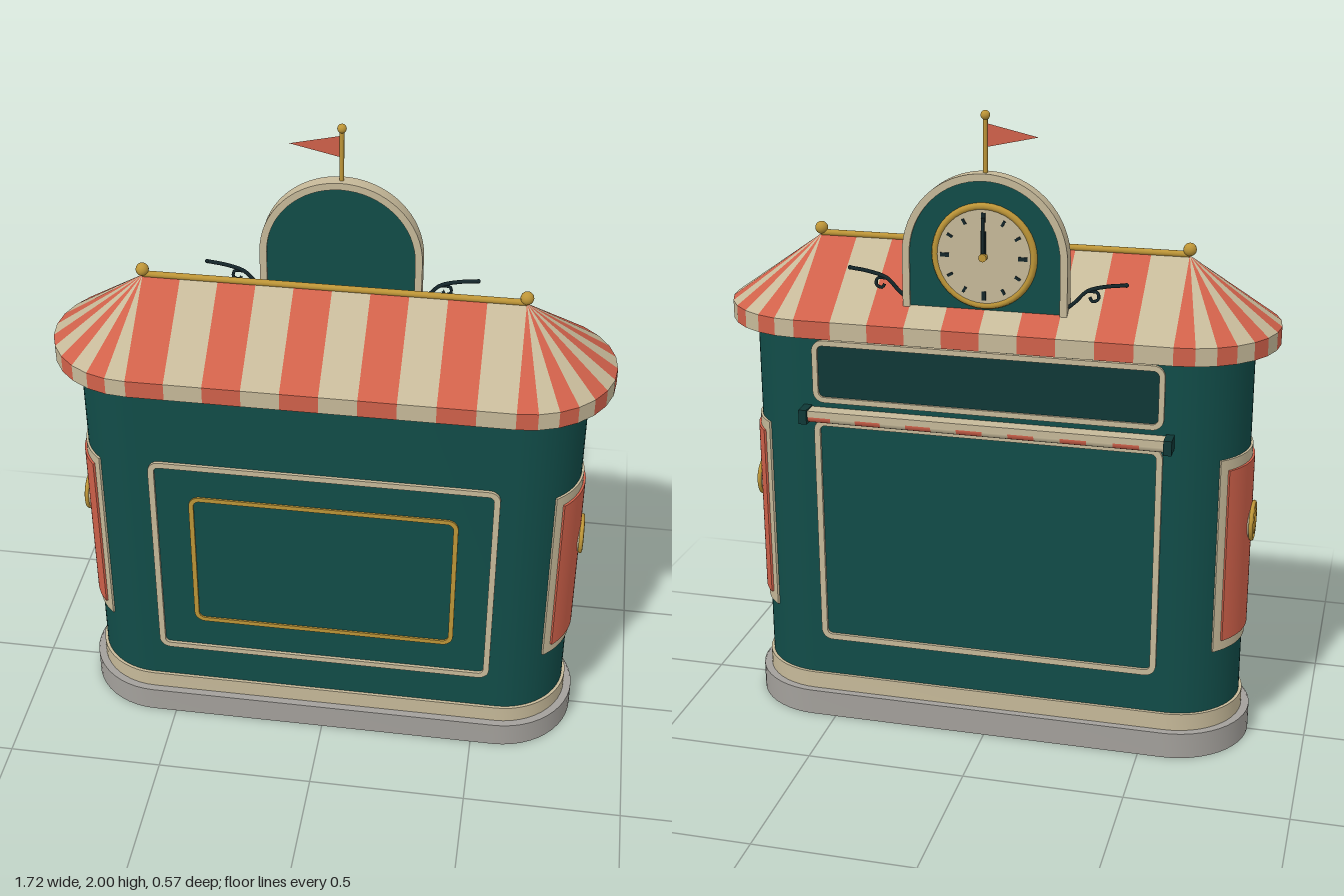
import * as THREE from 'three';
import { toCreasedNormals } from 'three/addons/utils/BufferGeometryUtils.js';

const mat = (color, side = THREE.FrontSide) => new THREE.MeshStandardMaterial({ color, side });
const teal = mat(0x114c48), darkTeal = mat(0x0f3836), cream = mat(0xc6b999), red = mat(0xd0614a);
const gold = mat(0xbd9537), brightGold = mat(0xe0aa3a), iron = mat(0x14262a), stone = mat(0xa3a09b);
const creamCloth = mat(0xc6b999, THREE.DoubleSide), redCloth = mat(0xd0614a, THREE.DoubleSide);
const HALF = 0.575; // half length of the straight walls

function add(parent, name, geometry, material, x = 0, y = 0, z = 0) {
  const mesh = new THREE.Mesh(geometry, material);
  mesh.name = name;
  mesh.position.set(x, y, z);
  parent.add(mesh);
  return mesh;
}

const extrude = (shape, depth, curveSegments = 16) => toCreasedNormals(
  new THREE.ExtrudeGeometry(shape, { depth, curveSegments, bevelEnabled: false }), 0.6);

function stadium(target, radius) {
  target.absarc(HALF, 0, radius, -Math.PI / 2, Math.PI / 2);
  target.absarc(-HALF, 0, radius, Math.PI / 2, Math.PI * 1.5);
  target.closePath();
  return target;
}

// Upright slab with straight sides and round ends, or a wall when given an inner radius
function slab(radius, height, segments = 12, inner = 0) {
  const s = stadium(new THREE.Shape(), radius);
  if (inner) s.holes.push(stadium(new THREE.Path(), inner));
  return extrude(s, height, segments).rotateX(-Math.PI / 2);
}

function roundRect(target, w, h, r) {
  const x = w / 2 - r, y = h / 2 - r;
  target.absarc(x, y, r, 0, Math.PI / 2);
  target.absarc(-x, y, r, Math.PI / 2, Math.PI);
  target.absarc(-x, -y, r, Math.PI, Math.PI * 1.5);
  target.absarc(x, -y, r, Math.PI * 1.5, Math.PI * 2);
  target.closePath();
  return target;
}

// Raised picture-frame moulding
function frame(w, h, t, depth) {
  const s = roundRect(new THREE.Shape(), w, h, 0.035);
  s.holes.push(roundRect(new THREE.Path(), w - 2 * t, h - 2 * t, 0.035 - t));
  return extrude(s, depth, 5);
}

// Curved panel wrapped round a wall end
function curvedPanel(rIn, rOut, angle, height) {
  const s = new THREE.Shape();
  s.absarc(0, 0, rOut, -angle, angle);
  s.absarc(0, 0, rIn, angle, -angle, true);
  s.closePath();
  return extrude(s, height, 14).rotateX(-Math.PI / 2);
}

function arch(target, r, bottom) {
  target.moveTo(r, bottom);
  target.lineTo(r, 0);
  target.absarc(0, 0, r, 0, Math.PI);
  target.lineTo(-r, bottom);
  target.closePath();
  return target;
}

// Striped hip roof with a short valance
function addRoof(root) {
  const R = 0.283, low = 1.305, eave = 1.36, ridge = 1.56, straight = 10, round = 14;
  const rim = [];
  for (let i = 0; i < straight; i++) rim.push([-HALF + 2 * HALF * i / straight, R]);
  for (let i = 0; i < round; i++) {
    const a = Math.PI / 2 - Math.PI * i / round;
    rim.push([HALF + R * Math.cos(a), R * Math.sin(a)]);
  }
  rim.push(...rim.map(([x, z]) => [-x, -z]));
  const clampX = x => THREE.MathUtils.clamp(x, -HALF, HALF);
  const stripes = [[], []];
  rim.forEach(([ax, az], i) => {
    const [bx, bz] = rim[(i + 1) % rim.length];
    const ra = [clampX(ax), ridge, 0], rb = [clampX(bx), ridge, 0];
    const ea = [ax, eave, az], eb = [bx, eave, bz], la = [ax, low, az], lb = [bx, low, bz];
    const out = stripes[i % 2];
    out.push(...la, ...lb, ...eb, ...la, ...eb, ...ea, ...ea, ...eb, ...rb);
    if (Math.abs(ra[0] - rb[0]) > 1e-6) out.push(...ea, ...rb, ...ra);
  });
  stripes.forEach((points, i) => {
    const g = new THREE.BufferGeometry();
    g.setAttribute('position', new THREE.Float32BufferAttribute(points, 3));
    g.computeVertexNormals();
    add(root, i ? 'roofCreamStripes' : 'roofRedStripes', g, i ? creamCloth : redCloth);
  });
  add(root, 'soffit', slab(0.274, 0.01, 14), cream, 0, 1.315);
  add(root, 'ridgeRail', new THREE.CylinderGeometry(0.01, 0.01, 2 * HALF, 10).rotateZ(Math.PI / 2), gold, 0, 1.563);
  for (const s of [-1, 1]) add(root, 'ridgeBall', new THREE.SphereGeometry(0.02, 16, 12), gold, s * HALF, 1.578);
}

// Arched gable with clock, scrolls and flag; local +z faces the rear
function addClockGable(root) {
  const gable = new THREE.Group();
  gable.name = 'clockGable';
  gable.position.set(0, 1.57, -0.193);
  gable.rotation.y = Math.PI;
  root.add(gable);
  const trim = arch(new THREE.Shape(), 0.25, -0.17);
  trim.holes.push(arch(new THREE.Path(), 0.228, -0.165));
  add(gable, 'gableTrim', extrude(trim, 0.046), cream, 0, 0, -0.023);
  add(gable, 'gablePanel', extrude(arch(new THREE.Shape(), 0.232, -0.168), 0.034), teal, 0, 0, -0.017);

  add(gable, 'clockFace', new THREE.CylinderGeometry(0.146, 0.146, 0.012, 40).rotateX(Math.PI / 2), cream, 0, 0.005, 0.019);
  add(gable, 'clockRing', new THREE.TorusGeometry(0.149, 0.011, 8, 40), gold, 0, 0.005, 0.018);
  for (let i = 0; i < 12; i++) {
    const a = i * Math.PI / 6, long = i % 3 === 0;
    const tick = add(gable, 'hourMark', new THREE.BoxGeometry(long ? 0.012 : 0.008, long ? 0.027 : 0.018, 0.005),
      iron, Math.sin(a) * 0.118, 0.005 + Math.cos(a) * 0.118, 0.026);
    tick.rotation.z = -a;
  }
  add(gable, 'hourHand', new THREE.BoxGeometry(0.016, 0.085, 0.005), iron, 0, 0.04, 0.03);
  add(gable, 'minuteHand', new THREE.BoxGeometry(0.009, 0.125, 0.005), iron, 0, 0.06, 0.034);
  add(gable, 'clockHub', new THREE.CylinderGeometry(0.012, 0.012, 0.018, 16).rotateX(Math.PI / 2), gold, 0, 0.005, 0.033);

  // Iron scrolls at the gable's foot
  for (const s of [-1, 1]) {
    const path = pts => new THREE.CatmullRomCurve3(pts.map(([x, y]) => new THREE.Vector3(s * x, y, 0)));
    const arm = path([[0.24, -0.145], [0.27, -0.12], [0.305, -0.085], [0.36, -0.068], [0.42, -0.06]]);
    const curl = path([[0.305, -0.085], [0.335, -0.088], [0.338, -0.108], [0.32, -0.115], [0.312, -0.102]]);
    add(gable, 'scrollArm', new THREE.TubeGeometry(arm, 20, 0.006, 6), iron);
    add(gable, 'scrollCurl', new THREE.TubeGeometry(curl, 16, 0.005, 6), iron);
    add(gable, 'scrollTip', new THREE.SphereGeometry(0.007, 8, 6), iron, s * 0.42, -0.06);
  }

  add(root, 'flagPole', new THREE.CylinderGeometry(0.007, 0.007, 0.18, 10), gold, 0, 1.89, -0.193);
  add(root, 'poleBall', new THREE.SphereGeometry(0.014, 14, 10), gold, 0, 1.986, -0.193);
  const flag = new THREE.Shape([[0, 0.035], [-0.157, 0], [0, -0.035]].map(p => new THREE.Vector2(...p)));
  add(root, 'flag', new THREE.ShapeGeometry(flag), redCloth, 0, 1.928, -0.193);
}

// Serving side: shutter frame, sign panel and rolled awning
function addBack(root) {
  const back = new THREE.Group();
  back.name = 'servingSide';
  back.rotation.y = Math.PI;
  root.add(back);
  add(back, 'shutterFrame', frame(1.09, 0.755, 0.019, 0.018), cream, 0, 0.645, 0.2);
  add(back, 'signPanel', extrude(roundRect(new THREE.Shape(), 1.07, 0.18, 0.03), 0.01, 5), darkTeal, 0, 1.18, 0.2);
  add(back, 'signFrame', frame(1.09, 0.2, 0.017, 0.018), cream, 0, 1.18, 0.2);
  add(back, 'awningHousing', new THREE.BoxGeometry(1.12, 0.02, 0.05), cream, 0, 1.052, 0.23);
  const n = 14, w = 1.12 / n;
  for (let i = 0; i < n; i++) {
    add(back, 'awningRoll', new THREE.CylinderGeometry(0.019, 0.019, w, 14).rotateZ(Math.PI / 2),
      i % 2 ? cream : red, -0.56 + w * (i + 0.5), 1.04, 0.235);
  }
  for (const s of [-1, 1]) add(back, 'awningBracket', new THREE.BoxGeometry(0.025, 0.046, 0.064), darkTeal, s * 0.565, 1.044, 0.233);
}

export function createModel() {
  const root = new THREE.Group();
  root.name = 'kiosk';

  // Plinth open underneath, walls and cornice
  add(root, 'plinthWall', slab(0.243, 0.085, 12, 0.24), stone);
  add(root, 'plinthTop', slab(0.241, 0.004), stone, 0, 0.08);
  add(root, 'skirting', slab(0.218, 0.057), cream, 0, 0.083);
  add(root, 'walls', slab(0.208, 1.16, 16), teal, 0, 0.138);
  add(root, 'cornice', slab(0.231, 0.03, 16), cream, 0, 1.288);

  // Front mouldings
  add(root, 'frontFrame', frame(1.09, 0.755, 0.019, 0.018), cream, 0, 0.645, 0.2);
  add(root, 'frontGoldFrame', frame(0.845, 0.505, 0.015, 0.014), gold, 0, 0.645, 0.2);

  // Curved end panels with medallions
  for (const s of [-1, 1]) {
    const end = new THREE.Group();
    end.name = s > 0 ? 'leftEndPanel' : 'rightEndPanel';
    end.position.x = s * HALF;
    end.rotation.y = s > 0 ? 0 : Math.PI;
    root.add(end);
    add(end, 'panelBorder', curvedPanel(0.2, 0.215, 0.87, 0.635), cream, 0, 0.345);
    add(end, 'panelInset', curvedPanel(0.205, 0.222, 0.74, 0.565), red, 0, 0.38);
    const disc = (r, d) => new THREE.CylinderGeometry(r, r, d, 32).rotateZ(Math.PI / 2);
    add(end, 'medallionDisc', disc(0.058, 0.024), cream, 0.217, 0.73);
    add(end, 'medallionRim', new THREE.TorusGeometry(0.057, 0.007, 8, 32).rotateY(Math.PI / 2), gold, 0.226, 0.73);
    add(end, 'medallionCentre', disc(0.039, 0.012), brightGold, 0.228, 0.73);
  }

  addBack(root);
  addRoof(root);
  addClockGable(root);
  return root;
}
